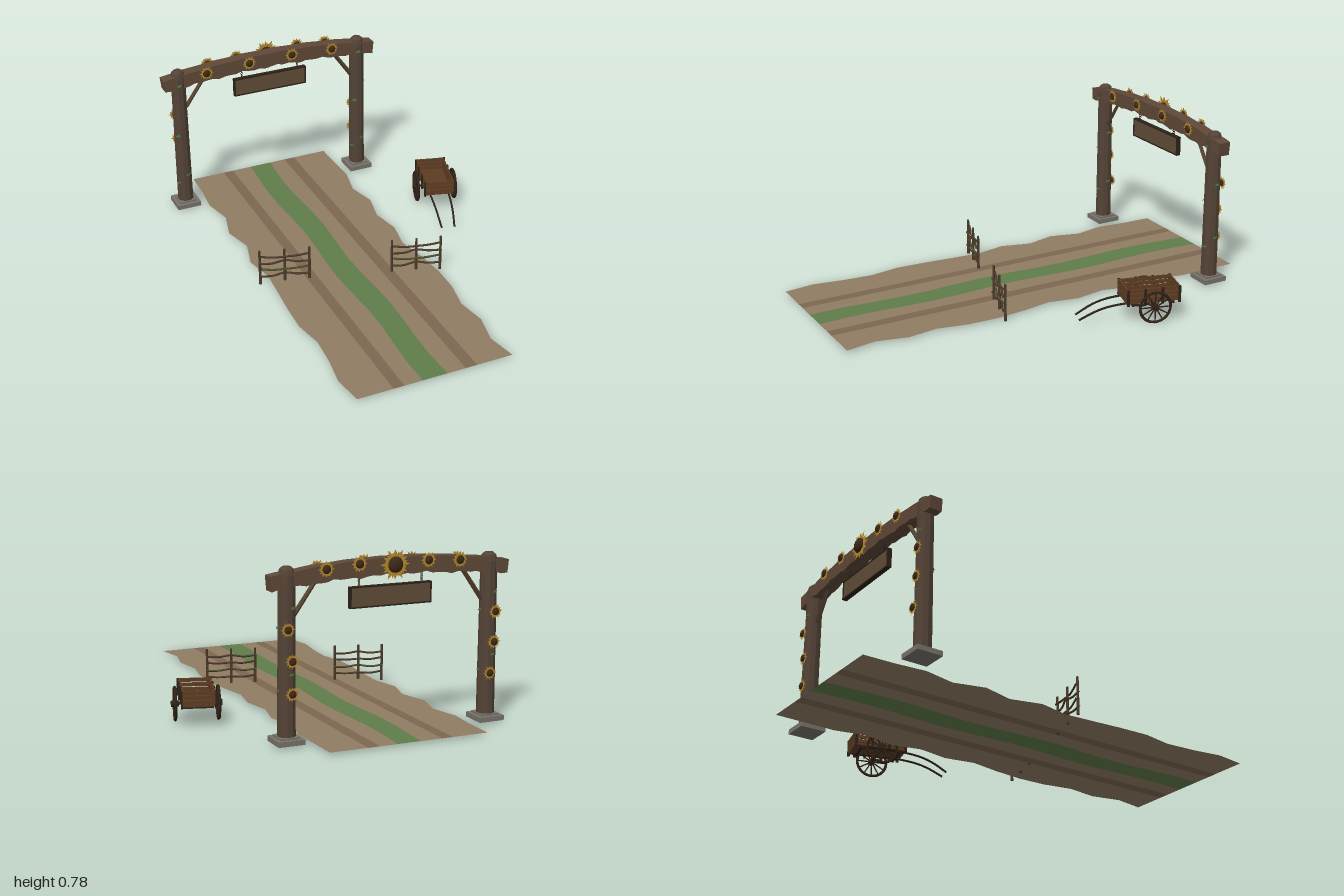
import * as THREE from 'three';

const mat = (color, flat = true, double = false) => new THREE.MeshStandardMaterial({
  color, flatShading: flat, side: double ? THREE.DoubleSide : THREE.FrontSide });
const M = {
  post: mat(0x544336), beam: mat(0x5f4838), brace: mat(0x54422f), sign: mat(0x5f4c37), dark: mat(0x2c2118),
  stone: mat(0x77736a), petal: mat(0xb5892a, true, true), seed: mat(0x3d2818, false), leaf: mat(0x3f6b38, true, true),
  road: mat(0x917c63, true, true), track: mat(0x7d6850, true, true), grass: mat(0x5f7d4a, true, true),
  fence: mat(0x4a3a2a), moss: mat(0x4c4d2c), cart: mat(0x5d3c22), wheel: mat(0x2f2115),
};
const V = (x, y, z) => new THREE.Vector3(x, y, z);

function add(parent, name, geo, material, x = 0, y = 0, z = 0) {
  const m = new THREE.Mesh(geo, material);
  m.name = name;
  m.position.set(x, y, z);
  parent.add(m);
  return m;
}
function group(parent, name, x = 0, y = 0, z = 0) {
  const g = new THREE.Group();
  g.name = name;
  g.position.set(x, y, z);
  parent.add(g);
  return g;
}
const box = (w, h, d) => new THREE.BoxGeometry(w, h, d);

// Tapered rod between two points
function rod(parent, name, a, b, r0, r1, material, sides = 6) {
  const d = b.clone().sub(a);
  const m = add(parent, name, new THREE.CylinderGeometry(r1, r0, d.length(), sides), material);
  m.position.copy(a).addScaledVector(d, 0.5);
  m.quaternion.setFromUnitVectors(V(0, 1, 0), d.normalize());
  return m;
}
const tube = (pts, r, n = 12, s = 6) => new THREE.TubeGeometry(new THREE.CatmullRomCurve3(pts), n, r, s);

// Flat ground strip between two x functions of the row number
const ROWS = 14;
function strip(parent, name, xl, xr, y, material) {
  const g = new THREE.PlaneGeometry(1, 2, 1, ROWS).rotateX(-Math.PI / 2);
  const p = g.attributes.position;
  for (let i = 0; i < p.count; i++) p.setX(i, (i % 2 ? xr : xl)(i >> 1));
  add(parent, name, g, material, 0, y, 0);
}

function road(root) {
  const g = group(root, 'road');
  const L = [-.477, -.48, -.492, -.46, -.497, -.46, -.497, -.466, -.476, -.487, -.492, -.466, -.476, -.497, -.477];
  const R = [.248, .25, .254, .222, .254, .222, .248, .222, .248, .264, .26, .233, .254, .222, .248];
  const at = v => () => v;
  const gl = i => -.172 + .009 * Math.sin(i * 1.15 + 2);
  const gr = i => -.06 + .009 * Math.sin(i * 1.15 + 2.6);
  const y = .01;
  strip(g, 'leftVerge', i => L[i], at(-.312), y, M.road);
  strip(g, 'wheelTrack', at(-.312), at(-.262), y, M.track);
  strip(g, 'leftLane', at(-.262), gl, y, M.road);
  strip(g, 'grassStrip', gl, gr, y, M.grass);
  strip(g, 'rightLane', gr, at(.024), y, M.road);
  strip(g, 'wheelTrack', at(.024), at(.078), y, M.track);
  strip(g, 'rightVerge', at(.078), i => R[i], y, M.road);
}

// Sunflower: two rings of pointed petals round a domed seed head
function star(r, turn) {
  const s = new THREE.Shape(), n = 12;
  for (let i = 0; i < n * 2; i++) {
    const a = i * Math.PI / n + turn, q = i % 2 ? r * .6 : r * (i % 4 ? .92 : 1);
    s[i ? 'lineTo' : 'moveTo'](Math.cos(a) * q, Math.sin(a) * q);
  }
  return new THREE.ShapeGeometry(s);
}
function sunflower(parent, x, y, z, r, back) {
  const g = group(parent, 'sunflower', x, y, z);
  if (back) g.rotation.y = Math.PI;
  add(g, 'petals', star(r, 0), M.petal);
  add(g, 'innerPetals', star(r * .85, .26), M.petal, 0, 0, .003);
  add(g, 'seedHead', new THREE.SphereGeometry(r * .5, 14, 10).scale(1, 1, .55), M.seed, 0, 0, .003);
}

function leafAt(parent, y, deg) {
  const s = new THREE.Shape();
  s.moveTo(-.014, 0);
  s.quadraticCurveTo(0, .012, .014, 0);
  s.quadraticCurveTo(0, -.012, -.014, 0);
  const a = deg * Math.PI / 180;
  const m = add(parent, 'vineLeaf', new THREE.ShapeGeometry(s, 4), M.leaf, .039 * Math.sin(a), y, .039 * Math.cos(a));
  m.rotation.set(-.6, a, .2, 'YXZ');
}

const CX = -.12, CZ = -.797;
function gateway(root) {
  const g = group(root, 'gateway', CX, 0, CZ);
  // Posts with stone plinths, rounded tops, leaves and flowers
  for (const s of [-1, 1]) {
    const p = group(g, s < 0 ? 'rightPost' : 'leftPost', s * .467);
    add(p, 'plinth', box(.118, .022, .118), M.stone, 0, .02, 0);
    add(p, 'plinthTop', box(.085, .012, .085), M.stone, 0, .033, 0);
    const prof = [[0, .03], [.039, .03], [.038, .25], [.0365, .5], [.036, .7], [.03, .725], [.018, .735], [0, .737]];
    const geo = new THREE.LatheGeometry(prof.map(q => new THREE.Vector2(...q)), 10, Math.PI / 10);
    add(p, 'post', geo, M.post);
    for (const [y, a] of [[.14, -60], [.185, 15], [.23, 90], [.3, 190], [.4, -40], [.49, 90], [.57, 200], [.667, -10]]) leafAt(p, y, a);
    [[.22, -s * .008], [.355, -.008], [.485, s * .012]].forEach(([y, x]) => sunflower(p, x, y, -.043, .033, true));
    rod(g, 'brace', V(s * .435, .535, 0), V(s * .335, .675, 0), .011, .01, M.brace, 4);
  }
  // Bowed beam with a worn, wavy underside
  const geo = box(1.09, .066, .058).toNonIndexed() && new THREE.BoxGeometry(1.09, .066, .058, 36, 1, 1);
  const p = geo.attributes.position;
  for (let i = 0; i < p.count; i++) {
    const x = p.getX(i), y = p.getY(i), t = x / .545;
    const wave = y < 0 ? .004 * Math.sin(x * 75) + .003 * Math.sin(x * 31) : .001 * Math.sin(x * 40);
    p.setXYZ(i, x + t * y * .09, .71 - .038 * t * t + y * (1.06 - .16 * t * t) + wave, p.getZ(i));
  }
  geo.computeVertexNormals();
  add(g, 'beam', geo, M.beam);
  // Flowers along both faces of the beam
  for (const [x, y] of [[-.456, .709], [-.238, .72], [-.017, .722], [.195, .712]]) sunflower(g, x - CX, y, .04, .037, false);
  for (const [x, y, r] of [[-.423, .718, .037], [-.275, .726, .037], [-.12, .717, .068], [.042, .73, .037], [.19, .718, .037]])
    sunflower(g, x - CX, y, -.04, r, true);
  // Blank hanging board with raised rim and chains
  const b = group(g, 'hangingBoard', 0, .586, 0);
  add(b, 'board', box(.368, .082, .016), M.sign);
  for (const s of [-1, 1]) {
    add(b, 'rim', box(.376, .006, .022), M.dark, 0, s * .042, 0);
    add(b, 'rim', box(.006, .084, .022), M.dark, s * .185, 0, 0);
    for (let i = 0; i < 5; i++) {
      const l = add(b, 'chainLink', new THREE.TorusGeometry(.0055, .0015, 5, 10), M.dark, s * .145, .049 + i * .009, 0);
      l.rotation.y = i % 2 ? Math.PI / 2 : .4;
    }
  }
}

// Three stakes with four woven rails
function fence(root, name, x, z) {
  const g = group(root, name, x, 0, z);
  g.rotation.y = -.265;
  const W = .113;
  [-W, 0, W].forEach((px, i) => rod(g, 'stake', V(px, 0, 0), V(px + .001 * (i - 1), .175, 0), .007, .0055, M.fence, 7));
  [.04, .072, .107, .138].forEach((y, i) => {
    const s = i % 2 ? 1 : -1;
    const pts = [V(-W - .005, y + .004, -s * .007), V(-W / 2, y - .003, 0), V(0, y + .003, s * .01), V(W / 2, y - .002, 0), V(W + .005, y + .001, -s * .007)];
    add(g, 'rail', tube(pts, .0048, 14), i === 1 ? M.moss : M.fence);
  });
}

function wheel(parent, x) {
  const g = group(parent, 'wheel', x, .084, 0);
  add(g, 'rim', new THREE.TorusGeometry(.07, .0065, 6, 28).rotateY(Math.PI / 2), M.wheel);
  add(g, 'hub', new THREE.CylinderGeometry(.014, .014, .034, 12).rotateZ(Math.PI / 2), M.wheel);
  for (let i = 0; i < 12; i++) {
    const a = i * Math.PI / 6;
    rod(g, 'spoke', V(0, 0, 0), V(0, .069 * Math.cos(a), .069 * Math.sin(a)), .0036, .003, M.wheel, 5);
  }
}

function cart(root) {
  const g = group(root, 'handCart', .556, 0, -.32);
  g.rotation.y = -.272;
  // Planked floor and under-frame
  for (let i = 0; i < 5; i++) add(g, 'floorPlank', box(.0262, .01, .246), M.cart, (i - 2) * .027, .102, 0);
  for (const z of [-.09, 0, .09]) add(g, 'crossBeam', box(.13, .014, .014), M.dark, 0, .091, z);
  rod(g, 'axle', V(-.1, .084, 0), V(.1, .084, 0), .006, .006, M.dark, 8);
  // Slatted sides and ends with stakes
  for (let i = 0; i < 3; i++) {
    const y = .116 + i * .0205;
    for (const s of [-1, 1]) {
      add(g, 'sideSlat', box(.008, .016, .25), M.cart, s * .066, y, 0);
      add(g, 'endSlat', box(.128, .016, .008), M.cart, 0, y, s * .119);
    }
  }
  for (const s of [-1, 1]) {
    for (const z of [-.118, -.04, .04, .118]) add(g, 'sideStake', box(.008, .076, .011), M.dark, s * .072, .128, z);
    wheel(g, s * .093);
    // Bent pulling shaft
    const pts = [V(s * .048, .094, -.1), V(s * .046, .096, .1), V(s * .042, .085, .2), V(s * .038, .066, .26), V(s * .031, .03, .33)];
    add(g, 'shaft', tube(pts, .0048, 20), M.dark);
  }
}

export function createModel() {
  const root = new THREE.Group();
  root.name = 'farmGateScene';
  road(root);
  gateway(root);
  fence(root, 'rightFence', -.406, .06);
  fence(root, 'leftFence', .177, .23);
  cart(root);
  return root;
}
